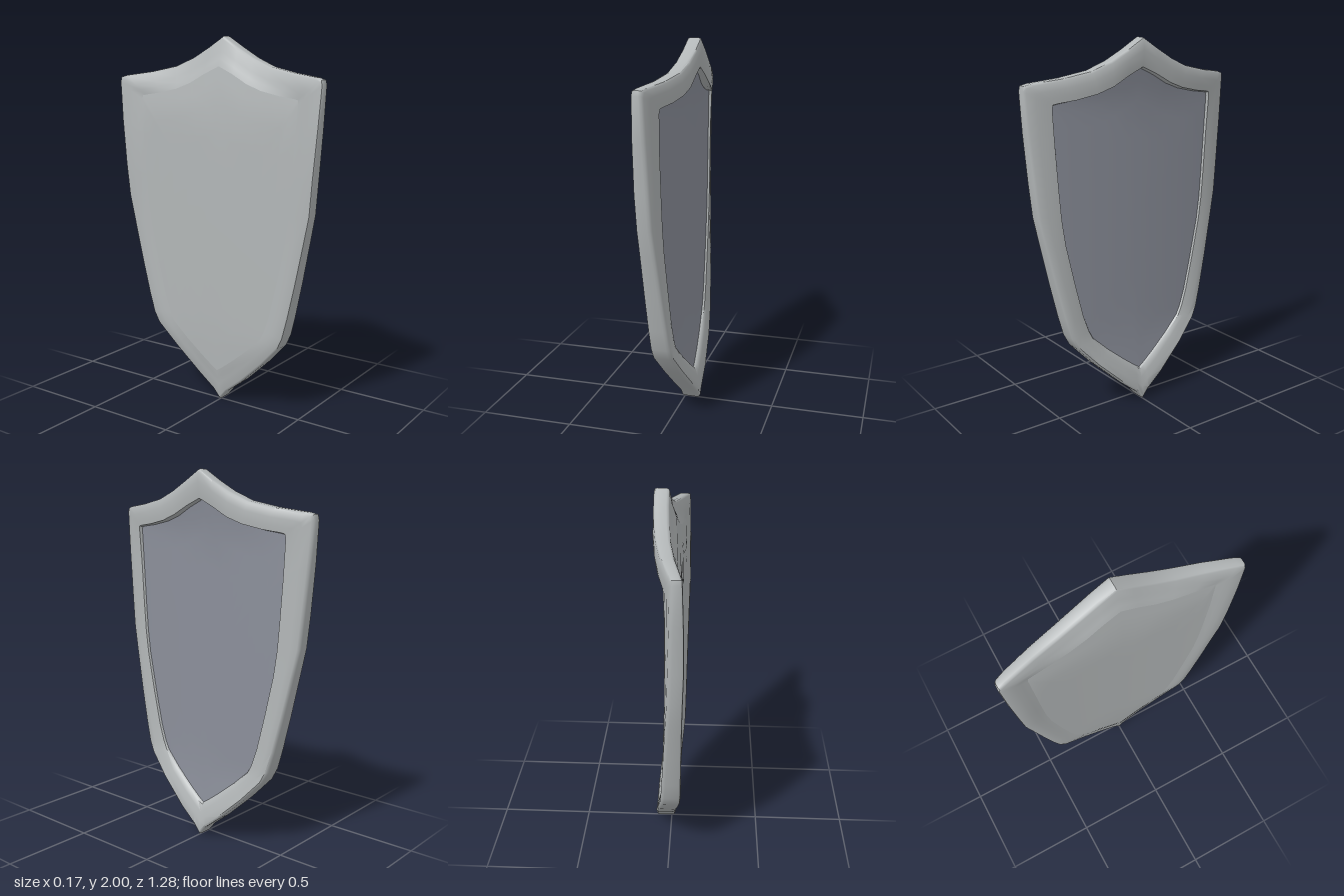
import * as THREE from 'three';
import { toCreasedNormals } from 'three/addons/utils/BufferGeometryUtils.js';

// Half outlines as [z, y] from top point to bottom point, matched one to one
const OUTER = [[0, 2], [0.09, 1.945], [0.19, 1.89], [0.3, 1.845], [0.45, 1.815], [0.6, 1.795], [0.635, 1.785],
  [0.64, 1.76], [0.625, 1.55], [0.602, 1.3], [0.585, 1.12], [0.555, 0.98], [0.505, 0.75], [0.46, 0.56],
  [0.43, 0.45], [0.4, 0.39], [0.29, 0.27], [0.14, 0.13], [0.04, 0.05], [0, 0]];
const INNER = [[0, 1.845], [0.09, 1.805], [0.18, 1.757], [0.27, 1.725], [0.38, 1.702], [0.47, 1.69], [0.493, 1.685],
  [0.497, 1.665], [0.485, 1.48], [0.47, 1.25], [0.458, 1.1], [0.44, 0.97], [0.392, 0.75], [0.346, 0.56],
  [0.315, 0.47], [0.29, 0.42], [0.2, 0.335], [0.1, 0.253], [0.03, 0.2], [0, 0.18]];
const CENTRE = [0, 1];

const clamp = THREE.MathUtils.clamp;
const mix = (a, b, t) => a + (b - a) * t;
const mirrored = half => [...half, ...half.slice(1, -1).reverse().map(([z, y]) => [-z, y])];
const outer = mirrored(OUTER), inner = mirrored(INNER);

// Depth (x) of each layer of the curved shield
const rimFront = z => 0.088 - 0.27 * z * z;
const panelFront = (z, y) => 0.03 - 0.12 * z * z + 0.15 * Math.max(0, y - 1.68) + 0.08 * Math.max(0, 0.4 - y);
const lipFront = (z, y) => mix(panelFront(z, y) + 0.012, Math.min(0.08, rimFront(z)), clamp((y - 1.62) / 0.08, 0, 1));
const rimBack = (z, y) => rimFront(z) - 0.078 - 0.03 * clamp((1.1 - y) / 0.7, 0, 1)
  + 0.02 * (z / 0.64) ** 2 * clamp((y - 1.4) / 0.3, 0, 1);
const panelBack = (z, y) => -0.054 - 0.04 * z * z + 0.12 * Math.max(0, y - 1.6) + 0.05 * Math.max(0, 0.4 - y);

// Ring of points t of the way from the outer outline to the inner one
const band = (t, depth) => outer.map(([z, y], i) => {
  const zz = mix(z, inner[i][0], t), yy = mix(y, inner[i][1], t);
  return [depth(zz, yy, i), yy, zz];
});
// Inner outline shrunk towards the centre
const shrunk = (s, depth) => inner.map(([z, y]) => {
  const zz = z * s, yy = mix(CENTRE[1], y, s);
  return [depth(zz, yy), yy, zz];
});

// Joins consecutive closed rings into a surface
function loft(rings, crease) {
  const n = rings[0].length, index = [];
  for (let r = 0; r < rings.length - 1; r++) {
    for (let i = 0; i < n; i++) {
      const j = (i + 1) % n, a = r * n + i, b = a + n, c = (r + 1) * n + j, d = r * n + j;
      index.push(a, b, c, a, c, d);
    }
  }
  const g = new THREE.BufferGeometry();
  g.setAttribute('position', new THREE.Float32BufferAttribute(rings.flat(2), 3));
  g.setIndex(index);
  g.computeVertexNormals();
  return toCreasedNormals(g, crease);
}

export function createModel() {
  const rimMetal = new THREE.MeshStandardMaterial({ color: 0xb2b6b7 });
  rimMetal.name = 'light grey metal';
  const panelMetal = new THREE.MeshStandardMaterial({ color: 0x8b8f9a });
  panelMetal.name = 'blue grey metal';
  const shield = new THREE.Group();
  shield.name = 'shield';
  const add = (name, geometry, material) => {
    const mesh = new THREE.Mesh(geometry, material);
    mesh.name = name;
    shield.add(mesh);
  };
  const steps = [0, 0.2, 0.4, 0.6, 0.8, 0.92, 1];

  // Raised rim: inner wall, rounded front face, outer edge, back lip
  const midFront = t => (z, y, i) => mix(rimFront(outer[i][0]), lipFront(...inner[i]), t) + 0.004;
  add('rim', loft([
    band(1, panelFront),
    band(0.95, lipFront),
    band(0.7, midFront(0.7)),
    band(0.4, midFront(0.4)),
    band(0.1, z => rimFront(z)),
    band(0.02, z => rimFront(z) - 0.006),
    band(0, z => rimFront(z) - 0.018),
    band(0, (z, y) => rimBack(z, y) + 0.016),
    band(0.03, (z, y) => rimBack(z, y) + 0.005),
    band(0.1, rimBack),
    band(0.5, (z, y, i) => mix(rimBack(...outer[i]), panelBack(...inner[i]), 0.3)),
    band(0.75, (z, y, i) => mix(rimBack(...outer[i]), panelBack(...inner[i]), 0.7)),
    band(1, panelBack),
  ], 0.8), rimMetal);

  // Sunken front panel and the plain back
  add('frontPanel', loft(steps.map(s => shrunk(s, panelFront)), 0.8), panelMetal);
  add('backPanel', loft([...steps].reverse().map(s => shrunk(s, panelBack)), 0.8), rimMetal);
  return shield;
}
